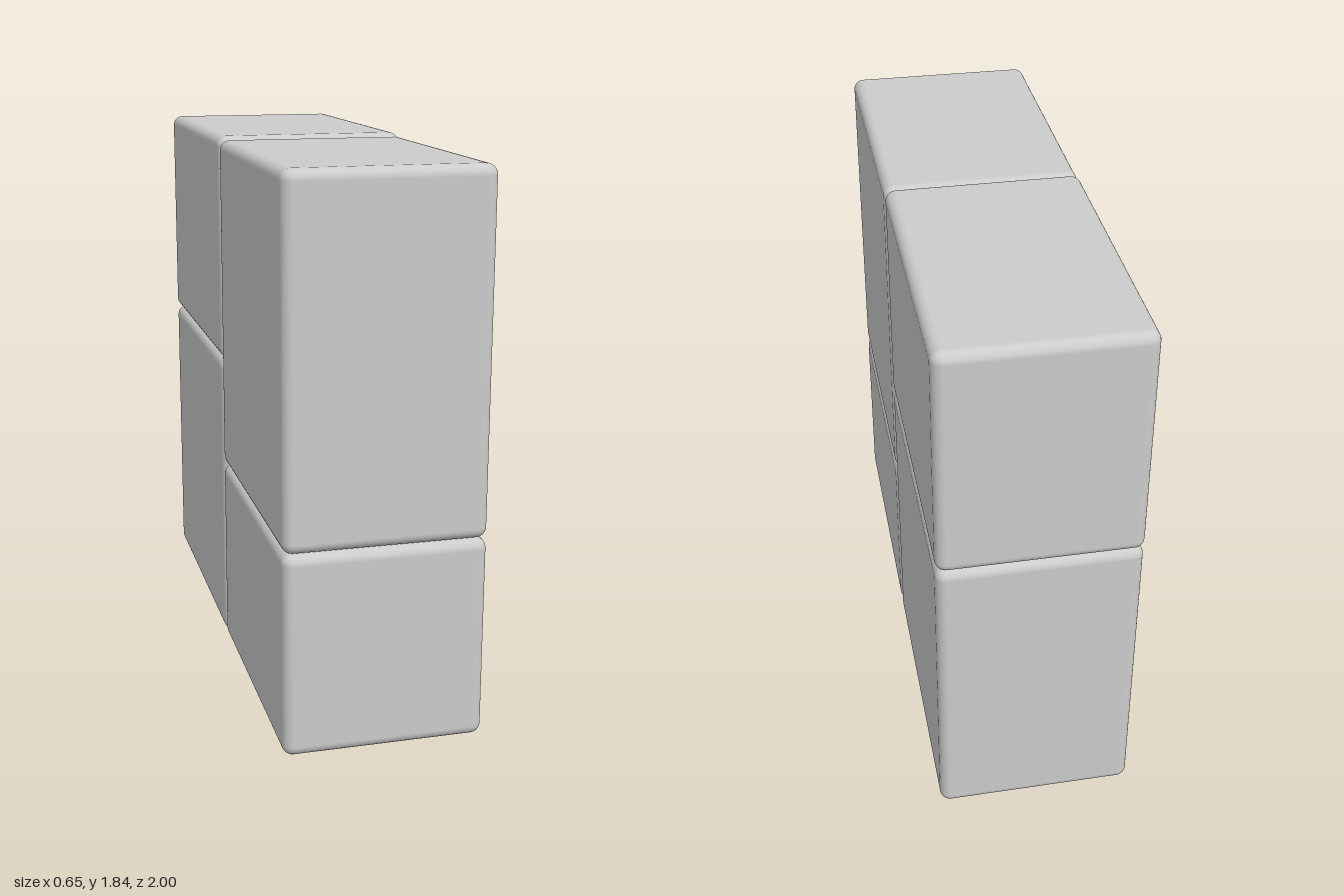
import * as THREE from 'three';
import { RoundedBoxGeometry } from 'three/addons/geometries/RoundedBoxGeometry.js';

const WIDTH = 0.655;
const RADIUS = 0.035;

// name, bottom y, top y, back z, front z
const BLOCKS = [
  ['frontLowerBlock', 0, 0.67, 0.03, 1],
  ['frontUpperBlock', 0.67, 1.827, 0.03, 1],
  ['backLowerBlock', 0, 1.05, -0.995, 0.03],
  ['backUpperBlock', 1.05, 1.837, -1, 0.03],
];

export function createModel() {
  const model = new THREE.Group();
  model.name = 'stackedBlocks';
  const material = new THREE.MeshStandardMaterial({ color: 0xcccccc });

  // Four soft-edged blocks in two columns
  for (const [name, y0, y1, z0, z1] of BLOCKS) {
    const geometry = new RoundedBoxGeometry(WIDTH, y1 - y0, z1 - z0, 4, RADIUS);
    const block = new THREE.Mesh(geometry, material);
    block.name = name;
    block.position.set(0, (y0 + y1) / 2, (z0 + z1) / 2);
    model.add(block);
  }
  return model;
}
